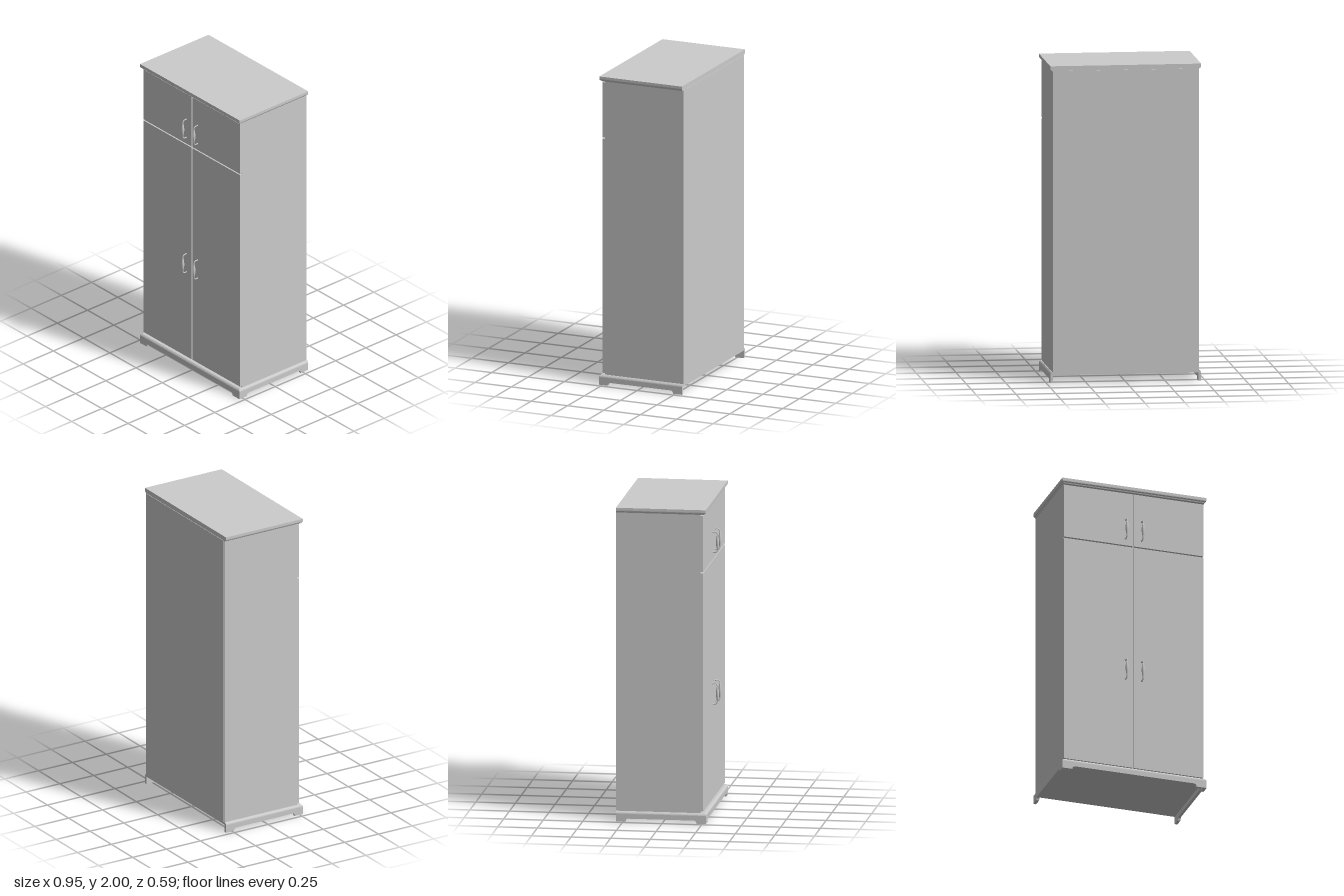
import * as THREE from 'three';

const BACK = -0.295;
const flat = new THREE.MeshStandardMaterial({ color: 0xcccccc, flatShading: true });
const smooth = new THREE.MeshStandardMaterial({ color: 0xcccccc });

function add(parent, name, geometry, material = flat) {
  const mesh = new THREE.Mesh(geometry, material);
  mesh.name = name;
  parent.add(mesh);
  return mesh;
}

// Box given by its minimum and maximum corners
function panel(parent, name, [x0, y0, z0], [x1, y1, z1]) {
  const mesh = add(parent, name, new THREE.BoxGeometry(x1 - x0, y1 - y0, z1 - z0));
  mesh.position.set((x0 + x1) / 2, (y0 + y1) / 2, (z0 + z1) / 2);
  return mesh;
}

// Moulded slab with a flush back: each ring is [y, half width, front z], bottom to top
function mouldedSlab(rings) {
  const pos = [], idx = [];
  for (const [y, w, f] of rings) pos.push(-w, y, f, w, y, f, w, y, BACK, -w, y, BACK);
  for (let r = 0; r < rings.length - 1; r++) {
    for (let i = 0; i < 4; i++) {
      const a = r * 4 + i, b = r * 4 + (i + 1) % 4;
      idx.push(a, b, b + 4, a, b + 4, a + 4);
    }
  }
  const t = (rings.length - 1) * 4;
  idx.push(0, 2, 1, 0, 3, 2, t, t + 1, t + 2, t, t + 2, t + 3);
  const g = new THREE.BufferGeometry();
  g.setAttribute('position', new THREE.Float32BufferAttribute(pos, 3));
  g.setIndex(idx);
  const out = g.toNonIndexed();
  out.computeVertexNormals();
  return out;
}

// Plinth board with a foot at each end and a low curved cut-out between them
function plinthBoard(length, foot, thickness) {
  const h = length / 2, top = 0.05, arch = 0.02, s = new THREE.Shape();
  s.moveTo(-h, 0);
  s.lineTo(-h + foot, 0);
  s.quadraticCurveTo(-h + foot + 0.003, arch, -h + foot + 0.016, arch);
  s.lineTo(h - foot - 0.016, arch);
  s.quadraticCurveTo(h - foot - 0.003, arch, h - foot, 0);
  s.lineTo(h, 0);
  s.lineTo(h, top);
  s.lineTo(-h, top);
  return new THREE.ExtrudeGeometry(s, { depth: thickness, bevelEnabled: false, curveSegments: 5 });
}

// Bow handle: bent rod, swelling grip and two round flanges; z = 0 is the door face
function makeHandle() {
  const g = new THREE.Group();
  g.name = 'handle';
  const path = new THREE.CatmullRomCurve3([
    [-0.065, 0], [-0.065, 0.012], [-0.063, 0.022], [-0.053, 0.029], [-0.03, 0.03], [0, 0.03],
    [0.03, 0.03], [0.053, 0.029], [0.063, 0.022], [0.065, 0.012], [0.065, 0],
  ].map(([y, z]) => new THREE.Vector3(0, y, z)));
  add(g, 'handleRod', new THREE.TubeGeometry(path, 48, 0.0035, 10), smooth);
  const profile = [];
  for (let i = 0; i <= 14; i++) {
    const t = i / 14;
    profile.push(new THREE.Vector2(0.003 + 0.007 * Math.sin(Math.PI * t), -0.05 + 0.1 * t));
  }
  add(g, 'handleGrip', new THREE.LatheGeometry(profile, 14), smooth).position.z = 0.03;
  for (const y of [-0.065, 0.065]) {
    const flange = add(g, 'handleFlange', new THREE.CylinderGeometry(0.004, 0.006, 0.004, 12));
    flange.rotation.x = Math.PI / 2;
    flange.position.set(0, y, 0.002);
  }
  return g;
}

export function createModel() {
  const model = new THREE.Group();
  model.name = 'wardrobe';

  // Carcass
  for (const s of [-1, 1]) {
    const side = panel(model, 'sidePanel', [0.443, 0.065, BACK], [0.46, 1.97, 0.238]);
    side.position.x *= s;
  }
  panel(model, 'floorPanel', [-0.443, 0.065, BACK], [0.443, 0.085, 0.238]);
  panel(model, 'shelf', [-0.443, 1.588, BACK], [0.443, 1.61, 0.238]);
  panel(model, 'ceilingPanel', [-0.443, 1.95, BACK], [0.443, 1.97, 0.238]);
  panel(model, 'divider', [-0.009, 0.085, BACK], [0.009, 1.95, 0.236]);
  panel(model, 'backPanel', [-0.45, 0.065, -0.298], [0.45, 1.97, -0.293]);

  // Doors and handles
  const doors = [
    { name: 'lowerDoor', y0: 0.076, y1: 1.595, handleY: 0.747 },
    { name: 'upperDoor', y0: 1.603, y1: 1.961, handleY: 1.713 },
  ];
  for (const d of doors) {
    for (const s of [-1, 1]) {
      const door = panel(model, d.name, [0.004, d.y0, 0.238], [0.46, d.y1, 0.255]);
      door.position.x *= s;
      const handle = makeHandle();
      handle.position.set(s * 0.053, d.handleY, 0.255);
      model.add(handle);
    }
  }

  // Cornice with a moulded lower edge
  add(model, 'topBoard', mouldedSlab([
    [1.968, 0.464, 0.261], [1.974, 0.466, 0.263], [1.975, 0.471, 0.268],
    [1.979, 0.474, 0.271], [1.984, 0.475, 0.272], [2.0, 0.475, 0.272],
  ]));

  // Plinth: moulded cap over three footed boards, open at the back
  add(model, 'plinthCap', mouldedSlab([
    [0.05, 0.475, 0.274], [0.055, 0.474, 0.273], [0.06, 0.471, 0.27], [0.066, 0.465, 0.264],
  ]));
  add(model, 'plinthFront', plinthBoard(0.95, 0.065, 0.018)).position.z = 0.256;
  const depth = 0.274 - BACK;
  for (const s of [-1, 1]) {
    const side = add(model, 'plinthSide', plinthBoard(depth, 0.06, 0.018));
    side.rotation.y = s * Math.PI / 2;
    side.position.set(s * 0.457, 0, (0.274 + BACK) / 2);
  }
  return model;
}
